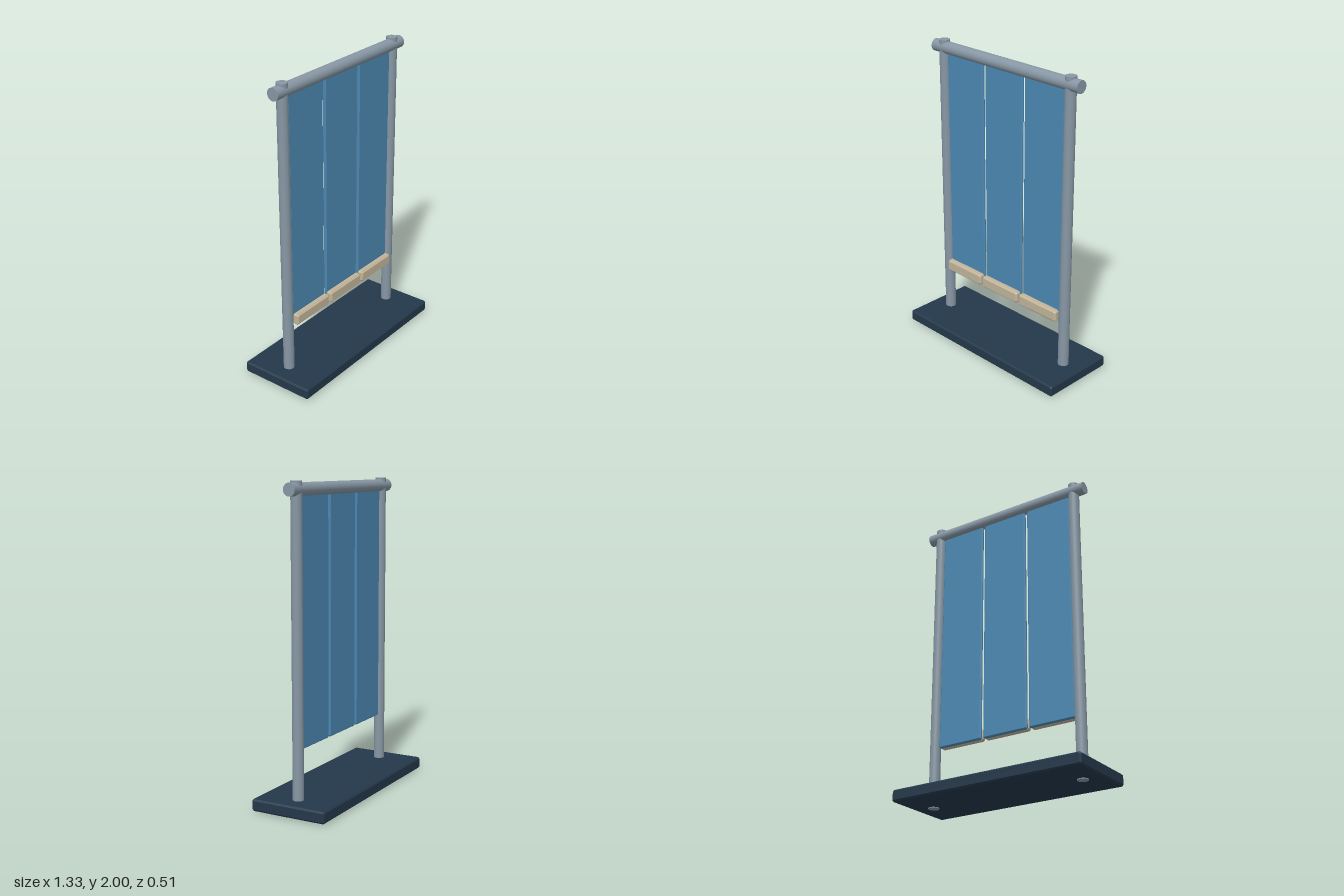
import * as THREE from 'three';

const material = (name, color) => {
  const m = new THREE.MeshStandardMaterial({ color });
  m.name = name;
  return m;
};

// Box with chamfered edges and corners, centred on the origin
function chamferBox(w, h, d, c) {
  const x = w / 2, y = h / 2;
  const outline = new THREE.Shape([
    [-x + c, -y], [x - c, -y], [x, -y + c], [x, y - c],
    [x - c, y], [-x + c, y], [-x, y - c], [-x, -y + c],
  ].map(([px, py]) => new THREE.Vector2(px, py)));
  return new THREE.ExtrudeGeometry(outline, {
    depth: d - 2 * c, bevelEnabled: true, bevelSegments: 1,
    bevelThickness: c, bevelSize: c, bevelOffset: -c,
  }).translate(0, 0, -d / 2 + c);
}

export function createModel() {
  const model = new THREE.Group();
  model.name = 'hangingPanelScreen';

  const navy = material('navy base', 0x24384a);
  const metal = material('grey metal', 0x8797a4);
  const blue = material('blue fabric', 0x4b88b2);
  const tan = material('tan wood', 0xc2b499);

  const add = (name, geometry, mat, x, y, z) => {
    const mesh = new THREE.Mesh(geometry, mat);
    mesh.name = name;
    mesh.position.set(x, y, z);
    model.add(mesh);
    return mesh;
  };

  // Base slab, just clear of the ground so the post ends show below
  add('base', chamferBox(1.33, 0.076, 0.51, 0.01), navy, 0, 0.043, 0);

  // Posts run through the base and the top rail
  for (const [name, side] of [['leftPost', 1], ['rightPost', -1]]) {
    add(name, new THREE.CylinderGeometry(0.035, 0.035, 2, 32), metal, side * 0.533, 1, 0);
  }

  // Top rail
  add('topRail', new THREE.CylinderGeometry(0.04, 0.04, 1.228, 32).rotateZ(Math.PI / 2),
    metal, 0, 1.95, 0);

  // Three hanging panels, each with a weight bar on its lower front edge
  for (const i of [-1, 0, 1]) {
    const x = i * 0.338;
    add('panel', chamferBox(0.322, 1.56, 0.024, 0.008), blue, x, 1.168, 0);
    add('weightBar', chamferBox(0.322, 0.078, 0.045, 0.011), tan, x, 0.426, 0.029);
  }

  return model;
}
